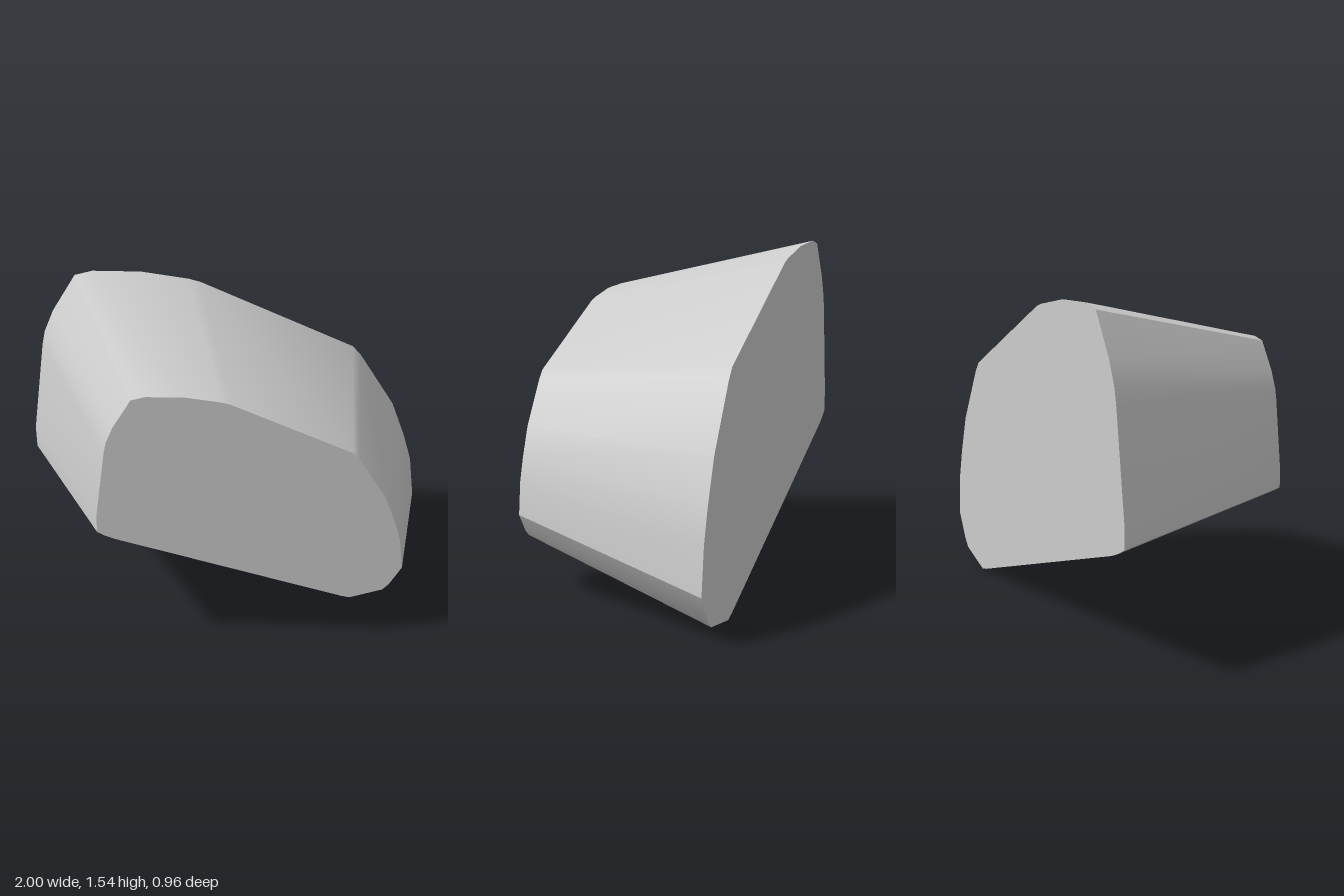
import * as THREE from 'three';
import { toCreasedNormals } from 'three/addons/utils/BufferGeometryUtils.js';

// Back outline, counter-clockwise seen from the front
const OUTLINE = [
  [-1, 0.6], [-0.95, 0.57], [-0.89, 0.543], [0.6, 0.015], [0.655, 0], [0.877, 0.052],
  [0.92, 0.094], [1, 0.222], [0.973, 0.436], [0.93, 0.58], [0.856, 0.773], [0.674, 1.056],
  [0.631, 1.104], [-0.144, 1.473], [-0.198, 1.489], [-0.428, 1.532], [-0.663, 1.543],
  [-0.749, 1.524], [-0.866, 1.345], [-0.914, 1.238], [-0.93, 1.168], [-1, 0.709],
];
const DEPTH = 0.96;
const FRONT_SCALE = 0.7;
const CENTRE = [0.117, 0.783]; // point the outline shrinks towards

export function createModel() {
  const group = new THREE.Group();
  group.name = 'taperedBlock';

  const grey = new THREE.MeshStandardMaterial({ color: 0xcccccc });
  grey.name = 'grey';

  // Straight prism, then shrink its front end
  const shape = new THREE.Shape(OUTLINE.map(([x, y]) => new THREE.Vector2(x, y)));
  const prism = new THREE.ExtrudeGeometry(shape, { depth: DEPTH, bevelEnabled: false, steps: 1 });
  prism.translate(0, 0, -DEPTH / 2);
  const pos = prism.attributes.position;
  for (let i = 0; i < pos.count; i++) {
    if (pos.getZ(i) < 0) continue;
    pos.setX(i, CENTRE[0] + (pos.getX(i) - CENTRE[0]) * FRONT_SCALE);
    pos.setY(i, CENTRE[1] + (pos.getY(i) - CENTRE[1]) * FRONT_SCALE);
  }
  prism.clearGroups();

  // Softly rounded sides with sharp end caps
  const block = new THREE.Mesh(toCreasedNormals(prism, 0.4), grey);
  block.name = 'block';
  group.add(block);
  return group;
}
